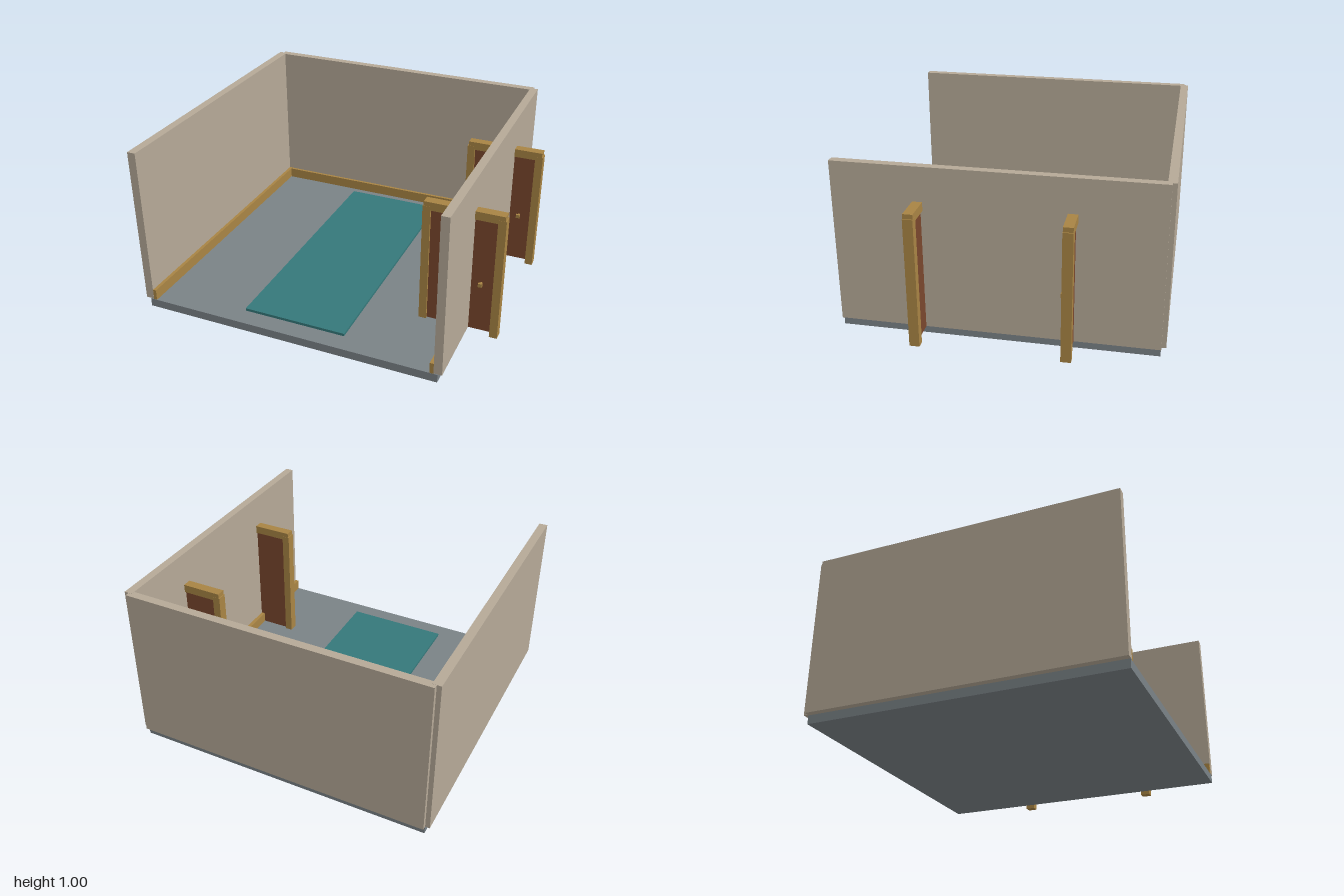
import * as THREE from 'three';

const paint = (name, color) => {
  const m = new THREE.MeshStandardMaterial({ color });
  m.name = name;
  return m;
};

export function createModel() {
  const wall = paint('wall plaster', 0xb5a997);
  const wood = paint('trim wood', 0xa88444);
  const doorBrown = paint('door brown', 0x7a472d);
  const floorGrey = paint('floor grey', 0x7a8286);
  const teal = paint('rug teal', 0x35787a);

  const room = new THREE.Group();
  room.name = 'room';

  // Box given by its extents along each axis
  const box = (parent, name, mat, [x0, x1], [y0, y1], [z0, z1]) => {
    const mesh = new THREE.Mesh(new THREE.BoxGeometry(x1 - x0, y1 - y0, z1 - z0), mat);
    mesh.position.set((x0 + x1) / 2, (y0 + y1) / 2, (z0 + z1) / 2);
    mesh.name = name;
    parent.add(mesh);
    return mesh;
  };

  // Floor slab and rug
  box(room, 'floor', floorGrey, [-0.972, 0.8], [0, 0.05], [-0.872, 0.9]);
  box(room, 'rug', teal, [-0.398, 0.22], [0.05, 0.066], [-0.77, 0.79]);

  // Three walls; the back one sits slightly proud of the side walls
  const height = [0.054, 0.995];
  box(room, 'leftWall', wall, [-1, -0.951], height, [-0.875, 0.9]);
  box(room, 'rightWall', wall, [0.778, 0.825], height, [-0.875, 0.9]);
  box(room, 'backWall', wall, [-0.974, 0.799], [0.054, 0.994], [-0.9, -0.852]);

  // Baseboards along the inside
  const skirt = [0.05, 0.115];
  box(room, 'leftBaseboard', wood, [-0.952, -0.931], skirt, [-0.852, 0.899]);
  box(room, 'rightBaseboard', wood, [0.755, 0.779], skirt, [-0.852, 0.899]);
  box(room, 'backBaseboard', wood, [-0.95, 0.777], [0.05, 0.114], [-0.853, -0.834]);

  // Two framed doors, standing crosswise through the right wall
  for (const [name, z] of [['frontDoor', 0.427], ['rearDoor', -0.392]]) {
    const door = new THREE.Group();
    door.name = name;
    door.position.z = z;
    const depth = [-0.028, 0.028];
    box(door, 'innerJamb', wood, [0.535, 0.58], [0.028, 0.772], depth);
    box(door, 'outerJamb', wood, [0.95, 0.995], [0.028, 0.772], depth);
    box(door, 'header', wood, [0.541, 0.989], [0.75, 0.799], [-0.027, 0.027]);
    box(door, 'panel', doorBrown, [0.578, 0.952], [0.053, 0.752], [-0.016, 0.016]);

    // Knob on the front face only
    const stem = new THREE.Mesh(new THREE.CylinderGeometry(0.007, 0.007, 0.022, 10), wood);
    stem.name = 'knobStem';
    stem.rotation.x = Math.PI / 2;
    stem.position.set(0.882, 0.362, 0.025);
    door.add(stem);
    box(door, 'knob', wood, [0.871, 0.893], [0.351, 0.373], [0.033, 0.047]);
    room.add(door);
  }

  return room;
}
